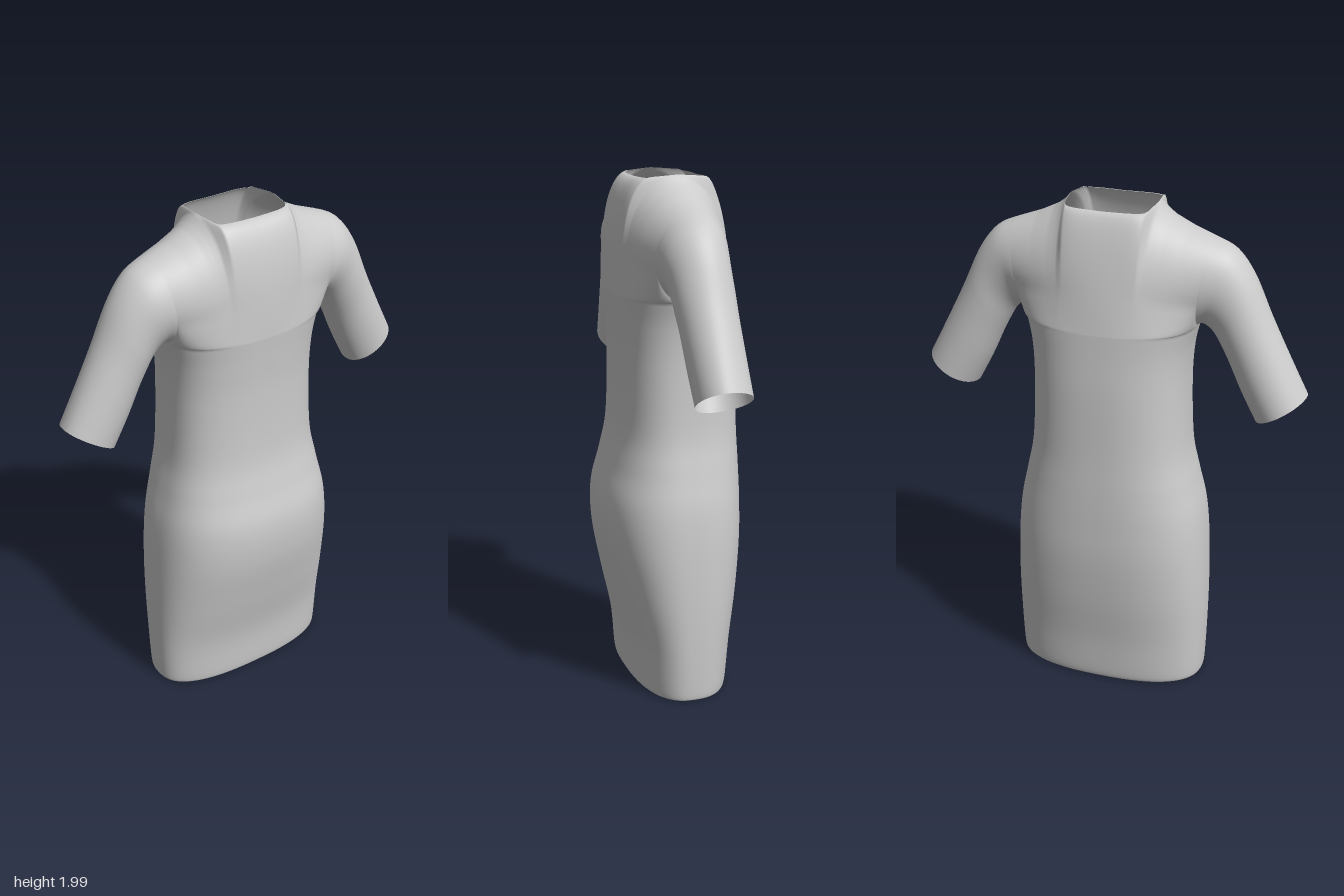
import * as THREE from 'three';
import { mergeGeometries, mergeVertices } from 'three/addons/utils/BufferGeometryUtils.js';

const { lerp, clamp } = THREE.MathUtils;

// Trunk rings from hem to armpit: y, half width, front depth, back depth
const TRUNK = [
  [0.005, 0.378, 0.158, 0.19], [0.03, 0.386, 0.166, 0.205], [0.2, 0.392, 0.182, 0.222],
  [0.4, 0.392, 0.228, 0.25], [0.6, 0.384, 0.268, 0.268], [0.76, 0.368, 0.272, 0.27],
  [0.9, 0.338, 0.238, 0.268], [1.05, 0.31, 0.21, 0.263], [1.3, 0.3, 0.205, 0.258],
  [1.45, 0.308, 0.212, 0.25], [1.55, 0.33, 0.22, 0.245],
];
// Sleeve rings from armhole to cuff: underside x, y, top x, y, front depth, back depth
const SLEEVE = [
  [0.33, 1.55, 0.38, 1.885, 0.165, 0.15], [0.355, 1.555, 0.46, 1.845, 0.148, 0.125],
  [0.395, 1.52, 0.53, 1.755, 0.125, 0.11], [0.445, 1.43, 0.6, 1.605, 0.108, 0.11],
  [0.5, 1.31, 0.675, 1.455, 0.098, 0.115], [0.56, 1.195, 0.75, 1.31, 0.088, 0.12],
];
// Height of the shoulder and collar line by distance from the middle
const SHOULDER = [[0, 1.985], [0.15, 1.988], [0.168, 2], [0.19, 1.975], [0.22, 1.952], [0.29, 1.918], [0.38, 1.885]];

// Smooth curve through the rows of a table
function sample(rows, t) {
  const f = t * (rows.length - 1), i = Math.min(Math.floor(f), rows.length - 2), k = f - i;
  const row = n => rows[clamp(n, 0, rows.length - 1)];
  return rows[i].map((_, c) => {
    const a = row(i - 1)[c], b = row(i)[c], d = row(i + 1)[c], e = row(i + 2)[c];
    return b + 0.5 * k * (d - a + k * (2 * a - 5 * b + 4 * d - e + k * (3 * (b - d) + e - a)));
  });
}

function shoulderHeight(x) {
  const i = Math.max(1, SHOULDER.findIndex(p => p[0] >= x - 1e-9));
  const [x0, y0] = SHOULDER[i - 1], [x1, y1] = SHOULDER[i];
  return lerp(y0, y1, (x - x0) / (x1 - x0));
}

// Sheet of nu by nv cells; its outside is where u cross v points
function sheet(nu, nv, point) {
  const pos = [], idx = [], w = nu + 1;
  for (let j = 0; j <= nv; j++) for (let i = 0; i <= nu; i++) pos.push(...point(i / nu, j / nv));
  for (let j = 0; j < nv; j++) for (let i = 0; i < nu; i++) {
    const a = j * w + i;
    idx.push(a, a + 1, a + w + 1, a, a + w + 1, a + w);
  }
  const g = new THREE.BufferGeometry();
  g.setAttribute('position', new THREE.Float32BufferAttribute(pos, 3));
  g.setIndex(idx);
  return g;
}

const across = s => Math.max(0, 1 - Math.abs(s) ** 2.5) ** 0.4;       // rounded trunk section
const ease = t => (1 - Math.cos(Math.PI * t)) / 2;
const closing = v => Math.sqrt(Math.max(0, 1 - v ** 3));               // rounds over the shoulder
const armhole = v => Math.sqrt(Math.max(0, 1 - (1 - v) ** 3));         // rounds out of the armpit

// Front (side 1) or back (side -1) of the skirt and waist
function trunkHalf(side) {
  return sheet(96, 60, (u, t) => {
    const s = -side * Math.cos(Math.PI * u);
    const [y, w, zf, zb] = sample(TRUNK, t);
    return [s * w, y, side * (side > 0 ? zf : zb) * across(s)];
  });
}

// Chest or upper back, from armpit height to neckline and shoulder seam
function yokeHalf(side) {
  const front = side > 0;
  return sheet(96, 24, (u, t) => {
    const s = -side * Math.cos(Math.PI * u), v = ease(t);
    const a = Math.abs(s), x = s * lerp(0.33, 0.38, v);
    const y = lerp(1.55, shoulderHeight(a * 0.38), v);
    const neck = (front ? 0.12 : 0.13) * Math.max(0, 1 - (a * 0.38 / 0.168) ** 5) ** 0.2;
    const middle = front ? lerp(0.22, 0.215, v) : lerp(0.245, 0.19, v);
    const edge = (front ? 0.165 : 0.15) * armhole(v);
    const body = lerp(edge, middle, lerp(across(s), 1 - s * s, Math.min(1, v * 3)));
    return [x, y, side * (neck + (body - neck) * closing(v))];
  });
}

// Front or back of a sleeve; mx mirrors it
function sleeveHalf(side, mx) {
  return sheet(36, 24, (u, t) => {
    const k = side * mx > 0 ? u : 1 - u, v = ease(t);
    const [bx, by, tx, ty, zf, zb] = sample(SLEEVE, k);
    const round = Math.sqrt(Math.max(0, 1 - (2 * v - 1) ** 2));
    const h = lerp(armhole(v) * closing(v), round, Math.min(1, k * 2));
    return [mx * lerp(bx, tx, v), lerp(by, ty, v), side * (side > 0 ? zf : zb) * h];
  });
}

export function createModel() {
  const group = new THREE.Group();
  group.name = 'dress';
  const parts = [];
  for (const side of [1, -1]) {
    parts.push(trunkHalf(side), yokeHalf(side));
    for (const mx of [1, -1]) parts.push(sleeveHalf(side, mx));
  }
  // One welded cloth so shading runs smoothly over the seams
  const cloth = mergeVertices(mergeGeometries(parts), 1e-4);
  cloth.computeVertexNormals();
  const mesh = new THREE.Mesh(cloth, new THREE.MeshStandardMaterial({ color: 0xcccccc, side: THREE.DoubleSide }));
  mesh.name = 'shortSleevedDress';
  group.add(mesh);
  return group;
}
